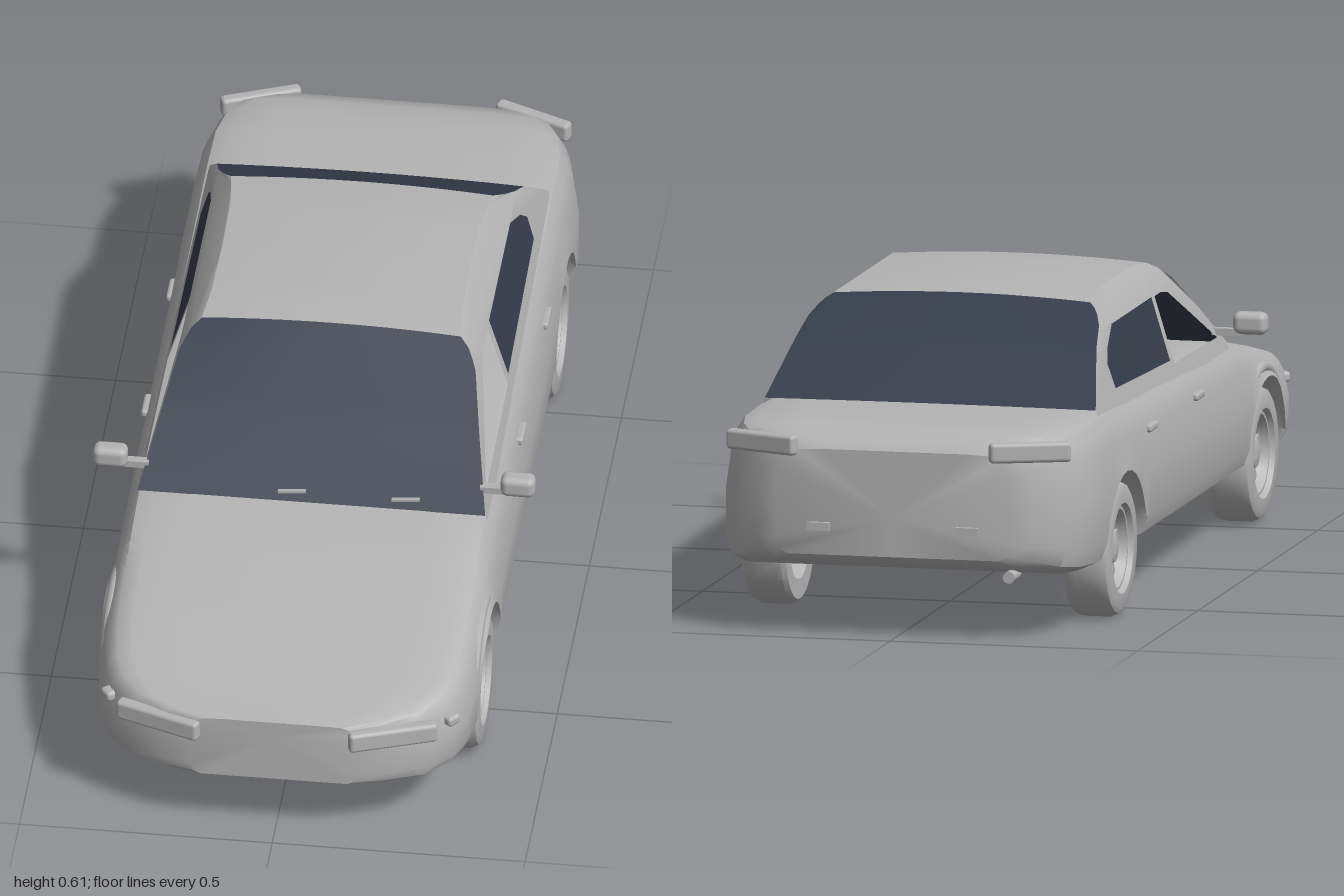
import * as THREE from 'three';
import { toCreasedNormals } from 'three/addons/utils/BufferGeometryUtils.js';
import { RoundedBoxGeometry } from 'three/addons/geometries/RoundedBoxGeometry.js';

const AXLE_Z = 0.59, ARCH_R = 0.165, SILL = 0.125;

// Piecewise-linear lookup in [key, value] pairs sorted by rising key
function lerpTable(table, k) {
  if (k <= table[0][0]) return table[0][1];
  for (let i = 1; i < table.length; i++) {
    const [k0, v0] = table[i - 1], [k1, v1] = table[i];
    if (k <= k1) return v0 + (v1 - v0) * (k - k0) / (k1 - k0);
  }
  return table[table.length - 1][1];
}
const steps = (a, b, n) => Array.from({ length: n + 1 }, (_, i) => a + (b - a) * i / n);

// Skin over rows of points
function loft(rows, crease) {
  const n = rows[0].length, index = [];
  for (let i = 0; i < rows.length - 1; i++) {
    for (let j = 0; j < n - 1; j++) {
      const a = i * n + j, c = a + n;
      index.push(a, a + 1, c, a + 1, c + 1, c);
    }
  }
  const g = new THREE.BufferGeometry();
  g.setAttribute('position', new THREE.Float32BufferAttribute(rows.flat(2), 3));
  g.setIndex(index);
  return toCreasedNormals(g, crease);
}

// Lower body: half width, top and bottom height along z
const WIDTH = [[-0.975, 0.24], [-0.96, 0.275], [-0.92, 0.335], [-0.87, 0.363], [-0.8, 0.378],
  [-0.7, 0.38], [0.65, 0.38], [0.74, 0.376], [0.82, 0.365], [0.87, 0.345], [0.92, 0.3], [0.955, 0.23], [0.975, 0.165]];
const TOP = [[-0.975, 0.375], [-0.96, 0.395], [-0.92, 0.41], [-0.85, 0.418], [-0.65, 0.42], [-0.4, 0.41],
  [0, 0.4], [0.2, 0.395], [0.4, 0.388], [0.5, 0.372], [0.6, 0.352], [0.7, 0.332], [0.82, 0.306], [0.92, 0.285], [0.975, 0.275]];
const BOTTOM = [[-0.975, 0.165], [-0.95, 0.145], [-0.9, 0.13], [-0.8, SILL], [0.8, SILL], [0.92, 0.13], [0.975, 0.14]];
// Half section as fractions of width and height, from bottom to top
const SECTION = [[0, 0], [0.88, 0], [0.97, 0.05], [1, 0.17], [1, 0.5], [0.968, 0.78], [0.94, 0.88], [0.9, 0.955], [0.82, 0.99], [0.6, 1], [0, 1]];

function archHeight(z) {
  const d = Math.abs(Math.abs(z) - AXLE_Z);
  return d < ARCH_R ? SILL + Math.sqrt(ARCH_R * ARCH_R - d * d) : 0;
}

function bodyGeometry() {
  const arch = steps(0, Math.PI, 14).map(a => ARCH_R * Math.cos(a));
  const zs = [...WIDTH.map(p => p[0]).filter(z => Math.abs(z) > 0.76), ...steps(-0.4, 0.4, 6),
    ...arch.map(d => AXLE_Z + d), ...arch.map(d => -AXLE_Z + d)].sort((a, b) => b - a);
  const rows = zs.map(z => {
    const w = lerpTable(WIDTH, z), t = lerpTable(TOP, z), b = lerpTable(BOTTOM, z), floor = archHeight(z);
    const half = SECTION.map(([fx, fy]) => [w * fx, Math.max(b + (t - b) * fy, floor), z]);
    return [...half.map(([x, y]) => [-x, y, z]), ...half.slice(0, -1).reverse()];
  });
  const cap = row => row.map(p => [0, 0.24, p[2]]);
  return loft([cap(rows[0]), ...rows, cap(rows[rows.length - 1])], 0.6);
}

// Cabin: roof edge height along z, and half width by height
const ROOF = [[-0.665, 0.42], [-0.53, 0.523], [-0.4, 0.59], [-0.3, 0.598], [-0.15, 0.6], [0, 0.598], [0.08, 0.592], [0.24, 0.493], [0.39, 0.388]];
const LEAN = [[0.37, 0.349], [0.4, 0.34], [0.555, 0.293], [0.578, 0.277], [0.592, 0.256], [0.6, 0.245]];
const roofY = z => lerpTable(ROOF, z);
const cabinX = y => lerpTable(LEAN, y);

function capGeometry(from, to, n) {
  return loft(steps(from, to, n).map(z => {
    const y = roofY(z), w = cabinX(y), crown = 0.05 * (y - 0.388);
    return steps(-1, 1, 10).map(u => [u * w, y + crown * (1 - u * u), z]);
  }), 0.6);
}

// Flat side outline in (z, y), bent on to the leaning cabin side
const outline = pts => pts.map(([z, y]) => new THREE.Vector2(-z, y));
function sideGeometry(pts, holes = [], offset = 0) {
  const shape = new THREE.Shape(outline(pts));
  shape.holes = holes.map(h => new THREE.Path(outline(h)));
  const g = new THREE.ShapeGeometry(shape), p = g.attributes.position;
  for (let i = 0; i < p.count; i++) {
    const y = p.getY(i);
    p.setXYZ(i, cabinX(y) + offset, y, -p.getX(i));
  }
  g.computeVertexNormals();
  return g;
}
const FRONT_WINDOW = [[0.33, 0.407], [0.2, 0.474], [0.08, 0.535], [0.035, 0.543], [-0.02, 0.543], [-0.02, 0.412]];
const REAR_WINDOW = [[-0.045, 0.42], [-0.045, 0.545], [-0.375, 0.545], [-0.45, 0.512], [-0.487, 0.482], [-0.48, 0.435]];

// Tyre and dished rim in one turned profile, axle along x
function wheelGeometry() {
  const profile = [[0, -0.005], [0.078, -0.005], [0.086, -0.044], [0.125, -0.045], [0.133, -0.036], [0.135, -0.02],
    [0.135, 0.025], [0.128, 0.041], [0.118, 0.046], [0.09, 0.046], [0.084, 0.036], [0.078, 0.036], [0.066, 0.01],
    [0.032, 0.012], [0.028, 0.03], [0.014, 0.034], [0, 0.034]].map(([r, h]) => new THREE.Vector2(r, h));
  return toCreasedNormals(new THREE.LatheGeometry(profile, 22).rotateZ(-Math.PI / 2), 0.6);
}

export function createModel() {
  const paint = new THREE.MeshStandardMaterial({ color: 0xb4b4b4 });
  const shellPaint = paint.clone();
  shellPaint.side = THREE.DoubleSide;
  const glass = new THREE.MeshStandardMaterial({ color: 0x363d4b, side: THREE.DoubleSide });
  paint.name = 'paint';
  shellPaint.name = 'shell paint';
  glass.name = 'dark glass';

  const car = new THREE.Group();
  car.name = 'car';
  const add = (parent, name, geometry, material, x = 0, y = 0, z = 0) => {
    const m = new THREE.Mesh(geometry, material);
    m.name = name;
    m.position.set(x, y, z);
    parent.add(m);
    return m;
  };

  add(car, 'lowerBody', bodyGeometry(), paint);
  add(car, 'windscreen', capGeometry(0.39, 0.08, 16), glass);
  add(car, 'roof', capGeometry(0.08, -0.4, 16), shellPaint);
  add(car, 'rearWindow', capGeometry(-0.4, -0.665, 16), glass);

  // Wiper blades
  for (const x of [-0.04, 0.185]) {
    add(car, 'wiper', new THREE.BoxGeometry(0.055, 0.005, 0.008), paint, x, 0.404, 0.378).rotation.z = 0.08;
  }

  const edge = [...steps(0.39, 0.08, 16), ...steps(0.08, -0.4, 16).slice(1), ...steps(-0.4, -0.665, 16).slice(1)];
  const sideShape = [...edge.map(z => [z, roofY(z)]), [-0.665, 0.375], [0.39, 0.375]];
  const cabinSide = sideGeometry(sideShape, [FRONT_WINDOW, REAR_WINDOW]);
  const sidePane = sideGeometry(REAR_WINDOW);
  const wheel = wheelGeometry();
  const lip = new THREE.TorusGeometry(0.172, 0.012, 8, 20, Math.PI * 0.7).rotateZ(Math.PI * 0.15).rotateY(Math.PI / 2);

  // Everything paired left and right
  for (const s of [1, -1]) {
    const side = new THREE.Group();
    side.name = s > 0 ? 'leftSide' : 'rightSide';
    side.scale.x = s;
    car.add(side);

    add(side, 'cabinSide', cabinSide, shellPaint);
    add(side, 'rearSideWindow', sidePane, glass);

    // Wheels, spokes and arch lips
    for (const z of [AXLE_Z, -AXLE_Z]) {
      const w = add(side, z > 0 ? 'frontWheel' : 'rearWheel', wheel, paint, 0.325, 0.136, z);
      for (let i = 0; i < 5; i++) {
        const a = i * Math.PI * 0.4;
        const spoke = add(w, 'spoke', new THREE.BoxGeometry(0.012, 0.045, 0.014), paint, 0.013, 0.05 * Math.cos(a), 0.05 * Math.sin(a));
        spoke.rotation.x = a;
      }
      add(side, 'archLip', lip, paint, 0.362, SILL + 0.01, z);
    }

    // Lamps wrapped around the corners
    const lamp = (name, x0, z0, x1, z1, y, h) => {
      const length = Math.hypot(x1 - x0, z1 - z0);
      const m = add(side, name, new RoundedBoxGeometry(length, h, 0.026, 2, 0.008), paint, (x0 + x1) / 2, y, (z0 + z1) / 2);
      m.rotation.y = -Math.atan2(z1 - z0, x1 - x0);
    };
    lamp('headlight', 0.148, 0.98, 0.315, 0.918, 0.245, 0.042);
    lamp('tailLight', 0.195, -0.98, 0.345, -0.918, 0.38, 0.04);
    lamp('sideMarker', 0.328, 0.885, 0.348, 0.86, 0.243, 0.022);
    add(side, 'rearReflector', new THREE.BoxGeometry(0.045, 0.016, 0.014), paint, 0.15, 0.222, -0.978);

    // Door handles
    for (const z of [0.04, -0.35]) {
      add(side, 'doorHandle', new RoundedBoxGeometry(0.018, 0.016, 0.064, 2, 0.006), paint, 0.369, 0.34, z);
    }

    // Door mirror on its stalk
    add(side, 'mirror', new RoundedBoxGeometry(0.068, 0.044, 0.04, 3, 0.014), paint, 0.403, 0.436, 0.343);
    add(side, 'mirrorStalk', new THREE.BoxGeometry(0.055, 0.014, 0.018), paint, 0.355, 0.418, 0.338);
  }

  // Exhaust tip on one side
  add(car, 'exhaust', new THREE.CylinderGeometry(0.012, 0.012, 0.06, 12).rotateX(Math.PI / 2), paint, -0.23, 0.131, -0.932);
  return car;
}
